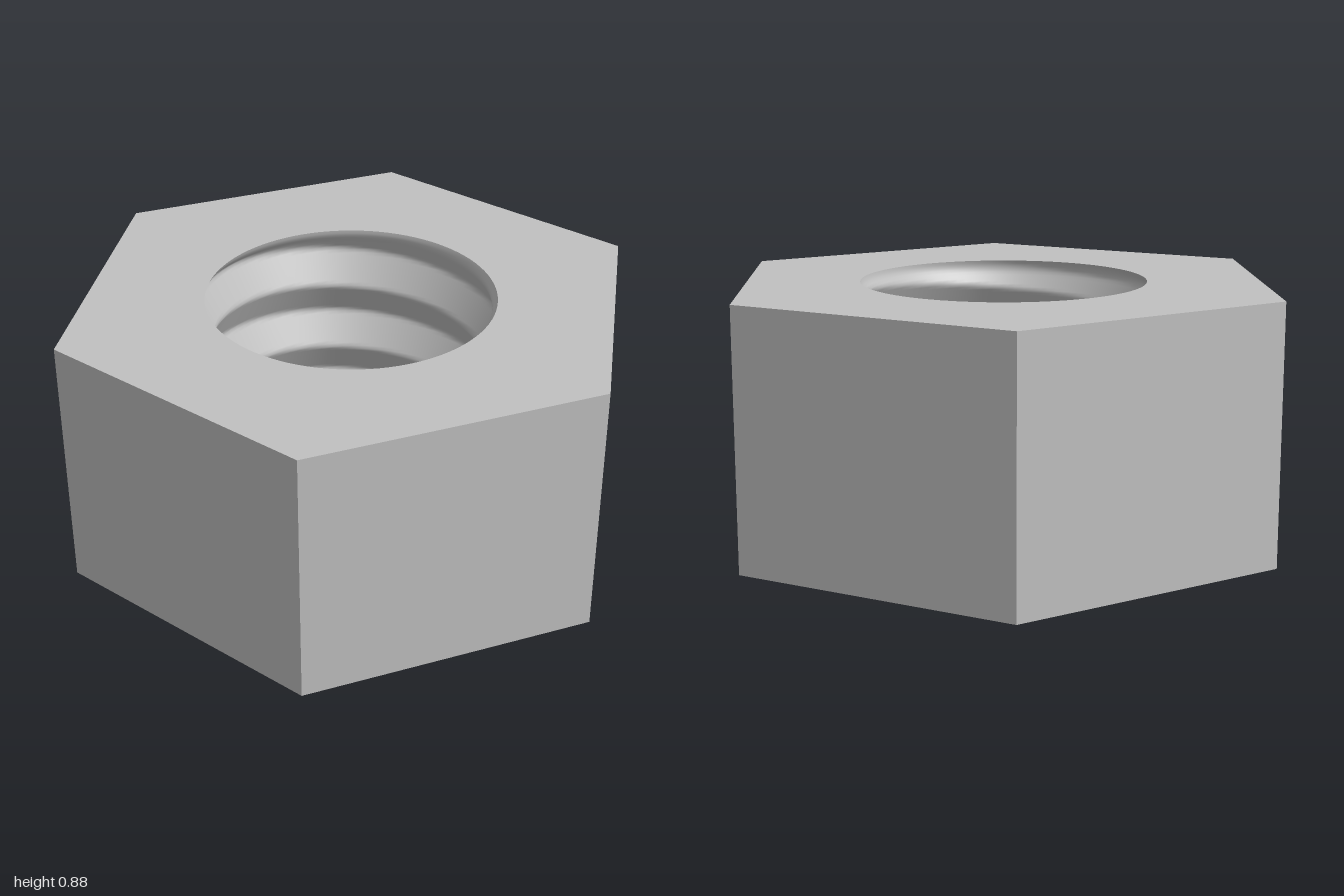
import * as THREE from 'three';

const HEIGHT = 0.875, LIP = 0.485, CREST = 0.46, ROOT = 0.525, PITCH = 0.25;
const SEGMENTS = 96, ROWS = 84;

// Bore radius: a right-handed helical V thread that fades into round lips
function boreRadius(theta, y) {
  const turn = (y - 0.113) / PITCH - theta / (2 * Math.PI);
  const groove = 2 * Math.abs(turn - Math.round(turn)); // 0 at crest, 1 at root
  const thread = THREE.MathUtils.lerp(CREST, ROOT, groove);
  const fade = Math.min(1, Math.min(y, HEIGHT - y) / 0.045);
  return THREE.MathUtils.lerp(LIP, thread, fade);
}

// Inward-facing wall made of stacked rings
function threadGeometry() {
  const positions = [], indices = [];
  for (let j = 0; j <= ROWS; j++) {
    const y = HEIGHT * j / ROWS;
    for (let i = 0; i < SEGMENTS; i++) {
      const t = 2 * Math.PI * i / SEGMENTS, r = boreRadius(t, y);
      positions.push(r * Math.cos(t), y, -r * Math.sin(t));
      if (j === ROWS) continue;
      const a = j * SEGMENTS + i, b = j * SEGMENTS + (i + 1) % SEGMENTS;
      const c = a + SEGMENTS, d = b + SEGMENTS;
      indices.push(a, c, b, b, c, d);
    }
  }
  const geometry = new THREE.BufferGeometry();
  geometry.setAttribute('position', new THREE.Float32BufferAttribute(positions, 3));
  geometry.setIndex(indices);
  geometry.computeVertexNormals();
  return geometry;
}

// Hexagon with a round hole
function faceGeometry() {
  const ring = (count, radius) => Array.from({ length: count }, (_, i) => {
    const t = 2 * Math.PI * i / count;
    return new THREE.Vector2(radius * Math.cos(t), radius * Math.sin(t));
  });
  const shape = new THREE.Shape(ring(6, 1));
  shape.holes.push(new THREE.Path(ring(SEGMENTS, LIP)));
  return new THREE.ShapeGeometry(shape);
}

export function createModel() {
  const group = new THREE.Group();
  group.name = 'hexNut';
  const steel = new THREE.MeshStandardMaterial({ color: 0xc0c0c0 });
  steel.name = 'steel grey';
  const add = (name, geometry) => {
    const mesh = new THREE.Mesh(geometry, steel);
    mesh.name = name;
    group.add(mesh);
  };

  // Six flat outer sides, with corners on the x axis
  const sides = new THREE.CylinderGeometry(1, 1, HEIGHT, 6, 1, true, Math.PI / 2).toNonIndexed();
  sides.computeVertexNormals();
  add('hexSides', sides.translate(0, HEIGHT / 2, 0));

  // Flat faces around the bore
  add('topFace', faceGeometry().rotateX(-Math.PI / 2).translate(0, HEIGHT, 0));
  add('bottomFace', faceGeometry().rotateX(Math.PI / 2));

  // Threaded bore
  add('innerThread', threadGeometry());
  return group;
}
